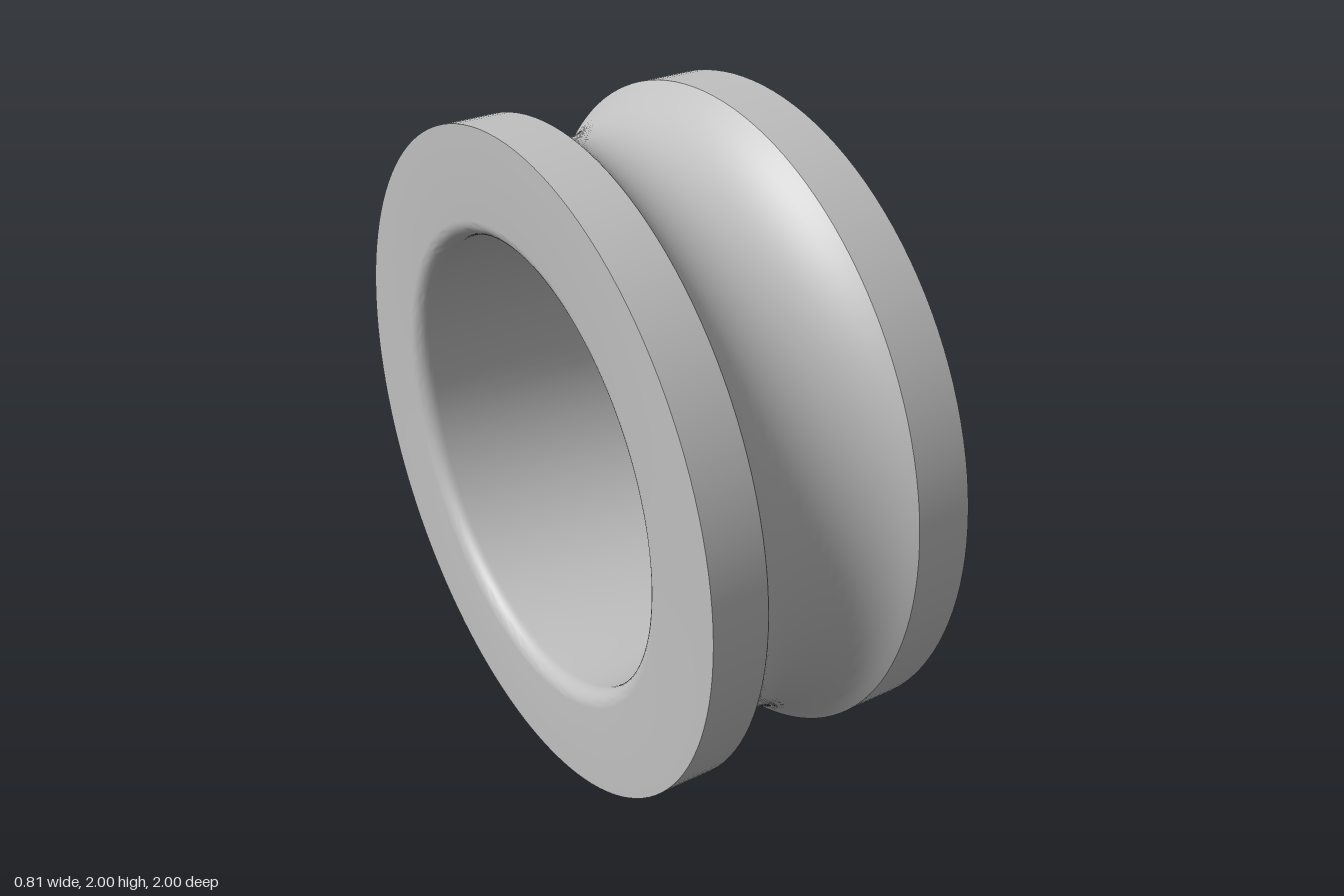
import * as THREE from 'three';
import { toCreasedNormals } from 'three/addons/utils/BufferGeometryUtils.js';

const HALF_WIDTH = 0.405, OUTER = 1, BORE = 0.68, FILLET = 0.05;
const GROOVE_HALF = 0.24, GROOVE_DEPTH = 0.11;

// Points along an arc in the (radius, axis) plane
function arc(cx, cy, r, from, to, steps) {
  return Array.from({ length: steps + 1 }, (_, i) => {
    const a = from + (to - from) * i / steps;
    return new THREE.Vector2(cx + r * Math.cos(a), cy + r * Math.sin(a));
  });
}

export function createModel() {
  const model = new THREE.Group();
  model.name = 'bearingInnerRing';

  const steel = new THREE.MeshStandardMaterial({ color: 0xc0c0c0 });
  steel.name = 'steel grey';

  // Circular ball groove, cut into the outer wall
  const grooveR = (GROOVE_HALF ** 2 + GROOVE_DEPTH ** 2) / (2 * GROOVE_DEPTH);
  const sweep = Math.asin(GROOVE_HALF / grooveR);
  const groove = arc(OUTER - GROOVE_DEPTH + grooveR, 0, grooveR, Math.PI + sweep, Math.PI - sweep, 20);

  // Rounded mouths at both ends of the bore
  const filletY = HALF_WIDTH - FILLET, filletX = BORE + FILLET;
  const upperMouth = arc(filletX, filletY, FILLET, Math.PI / 2, Math.PI, 8);
  const lowerMouth = arc(filletX, -filletY, FILLET, Math.PI, Math.PI * 1.5, 8);

  // Closed section: outer wall upward, across the end face, down the bore and back
  const profile = [
    new THREE.Vector2(OUTER, -HALF_WIDTH),
    ...groove,
    new THREE.Vector2(OUTER, HALF_WIDTH),
    ...upperMouth,
    ...lowerMouth,
    new THREE.Vector2(OUTER, -HALF_WIDTH),
  ];

  // Crisp rims and groove edges, smooth groove and fillets
  const geometry = toCreasedNormals(new THREE.LatheGeometry(profile, 128), Math.PI / 6);
  geometry.rotateZ(-Math.PI / 2);

  const ring = new THREE.Mesh(geometry, steel);
  ring.name = 'groovedRing';
  ring.position.y = OUTER;
  model.add(ring);
  return model;
}
